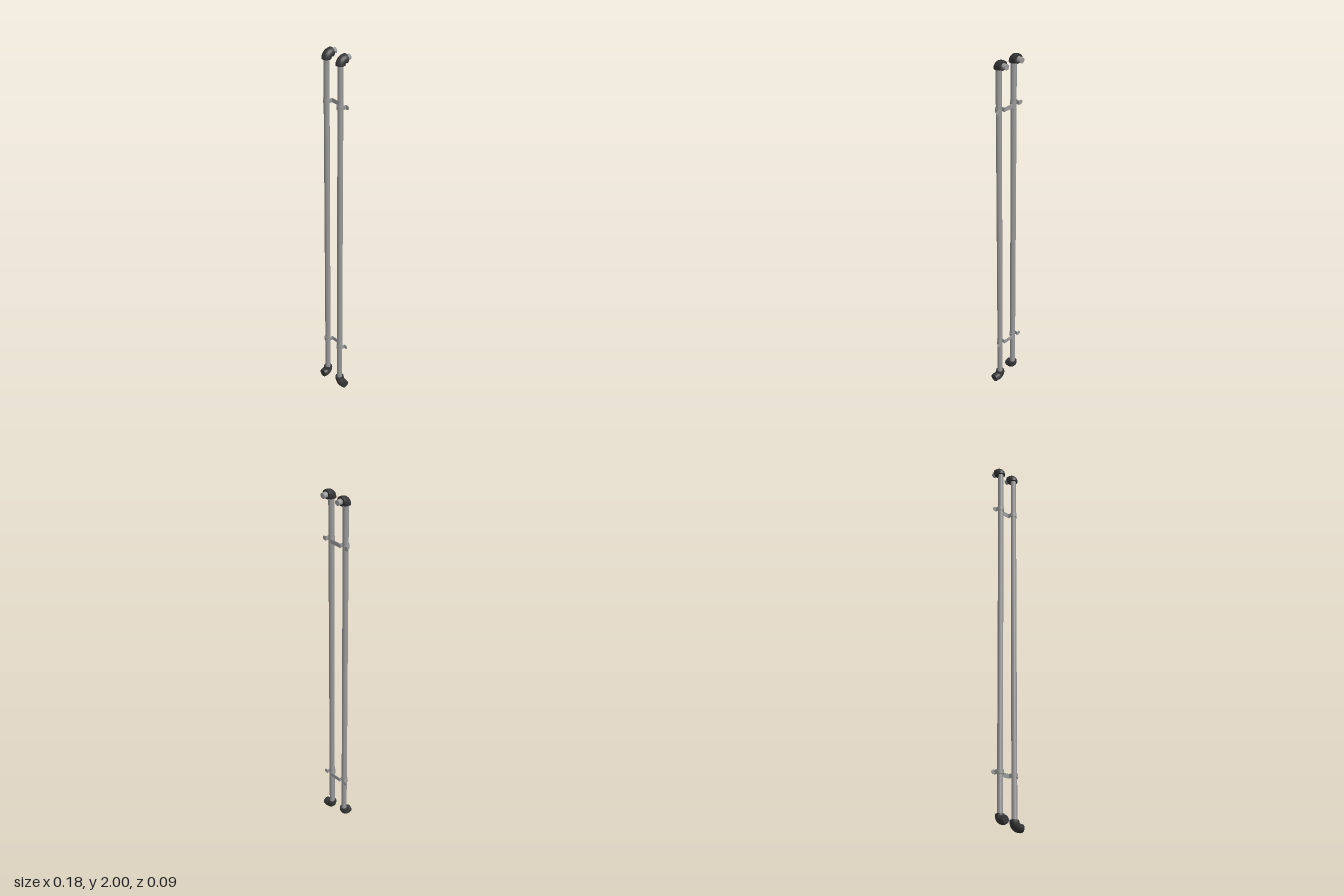
import * as THREE from 'three';

const rubber = new THREE.MeshStandardMaterial({ color: 0x363636 });
rubber.name = 'dark fitting';
const steel = new THREE.MeshStandardMaterial({ color: 0x9a9a9a });
steel.name = 'grey metal';

const PIPE_Z = 0.007, PIPE_R = 0.0142, ELBOW_R = 0.0235, BEND = 0.024;

function add(parent, name, geometry, material) {
  const mesh = new THREE.Mesh(geometry, material);
  mesh.name = name;
  parent.add(mesh);
  return mesh;
}

// Elbow: enters from below, leaves towards -z; origin where the two axes cross
function makeElbow(inLength, outLength, endRadius) {
  const group = new THREE.Group();
  const sides = 24, steps = 6, rings = [];
  rings.push({ y: -BEND - inLength, z: 0, a: 0, r: ELBOW_R - 0.001 });
  for (let i = 0; i <= steps; i++) {
    const a = (i / steps) * Math.PI / 2;
    rings.push({ y: -BEND + BEND * Math.sin(a), z: -BEND + BEND * Math.cos(a), a, r: ELBOW_R });
  }
  rings.push({ y: 0, z: -BEND - outLength, a: Math.PI / 2, r: endRadius });
  const positions = [], index = [];
  rings.forEach(({ y, z, a, r }, i) => {
    for (let j = 0; j < sides; j++) {
      const t = (j / sides) * Math.PI * 2, s = r * Math.sin(t);
      positions.push(r * Math.cos(t), y + s * Math.sin(a), z + s * Math.cos(a));
      if (i === 0) continue;
      const k = (j + 1) % sides, p = (i - 1) * sides, q = i * sides;
      index.push(p + j, q + j, p + k, p + k, q + j, q + k);
    }
  });
  const body = new THREE.BufferGeometry();
  body.setAttribute('position', new THREE.Float32BufferAttribute(positions, 3));
  body.setIndex(index);
  body.computeVertexNormals();
  add(group, 'elbowBody', body, rubber);
  // Flat end faces
  const lower = new THREE.CircleGeometry(ELBOW_R - 0.001, sides).rotateX(Math.PI / 2);
  add(group, 'elbowInletFace', lower.translate(0, -BEND - inLength, 0), rubber);
  const outer = new THREE.CircleGeometry(endRadius, sides).rotateY(Math.PI);
  add(group, 'elbowOutletFace', outer.translate(0, 0, -BEND - outLength), rubber);
  return group;
}

// Strap bent over the front of a pipe, seen in plan as an upside-down U
function strapGeometry(height) {
  const inner = PIPE_R + 0.0003, outer = 0.0178, back = -0.0205;
  const s = new THREE.Shape();
  s.moveTo(outer, back);
  s.lineTo(outer, 0);
  s.absarc(0, 0, outer, 0, Math.PI, false);
  s.lineTo(-outer, back);
  s.lineTo(-inner, back);
  s.lineTo(-inner, 0);
  s.absarc(0, 0, inner, Math.PI, 0, true);
  s.lineTo(inner, back);
  s.closePath();
  const g = new THREE.ExtrudeGeometry(s, { depth: height, bevelEnabled: false, curveSegments: 20 });
  return g.rotateX(Math.PI / 2).translate(0, height / 2, 0);
}

// Mounting ear with a rounded tip, pointing to +x
function earGeometry(height) {
  const h = height / 2, s = new THREE.Shape();
  s.moveTo(0.0148, -h);
  s.lineTo(0.037 - h, -h);
  s.absarc(0.037 - h, 0, h, -Math.PI / 2, Math.PI / 2, false);
  s.lineTo(0.0148, h);
  s.closePath();
  return new THREE.ExtrudeGeometry(s, { depth: 0.003, bevelEnabled: false, curveSegments: 10 });
}

export function createModel() {
  const model = new THREE.Group();
  model.name = 'pipePair';
  const pipes = [
    { side: 'right', x: -0.053, footY: 0.036, outLength: 0.014, turn: 0 },
    { side: 'left', x: 0.043, footY: 0.0245, outLength: 0.023, turn: Math.PI / 2 },
  ];
  const topY = 1.9765;

  for (const { side, x, footY, outLength, turn } of pipes) {
    // Long upright pipe
    const bottom = footY + 0.022, length = topY - 0.022 - bottom;
    const pipe = add(model, side + 'Pipe', new THREE.CylinderGeometry(PIPE_R, PIPE_R, length, 24), steel);
    pipe.position.set(x, bottom + length / 2, PIPE_Z);

    // Top elbow and short stub to the wall
    const top = makeElbow(0, 0.008, ELBOW_R);
    top.name = side + 'TopElbow';
    top.position.set(x, topY, PIPE_Z);
    model.add(top);
    const stub = add(model, side + 'WallStub', new THREE.CylinderGeometry(0.0137, 0.0137, 0.028, 24), steel);
    stub.rotation.x = Math.PI / 2;
    stub.position.set(x, topY, -0.034);

    // Bottom elbow, turned to the front or sideways
    const foot = makeElbow(0.008, outLength, 0.0215);
    foot.name = side + 'BottomElbow';
    foot.rotation.set(Math.PI, turn, 0, 'YXZ');
    foot.position.set(x, footY, PIPE_Z);
    model.add(foot);
  }

  // Two double clamps holding the pipes together
  const height = 0.022, plateZ = -0.0142;
  for (const [name, y] of [['lowerClamp', 0.273], ['upperClamp', 1.737]]) {
    const clamp = new THREE.Group();
    clamp.name = name;
    clamp.position.y = y;
    for (const { side, x } of pipes) {
      add(clamp, side + 'Strap', strapGeometry(height), steel).position.set(x, 0, PIPE_Z);
      const ear = add(clamp, side + 'Ear', earGeometry(height), steel);
      ear.position.set(x, 0, plateZ);
      if (side === 'right') {
        ear.rotation.y = Math.PI;
        ear.position.z += 0.003;
      }
    }
    const bridge = add(clamp, 'bridgePlate', new THREE.BoxGeometry(0.0664, height, 0.003), steel);
    bridge.position.set(-0.005, 0, plateZ + 0.0015);
    model.add(clamp);
  }
  return model;
}
